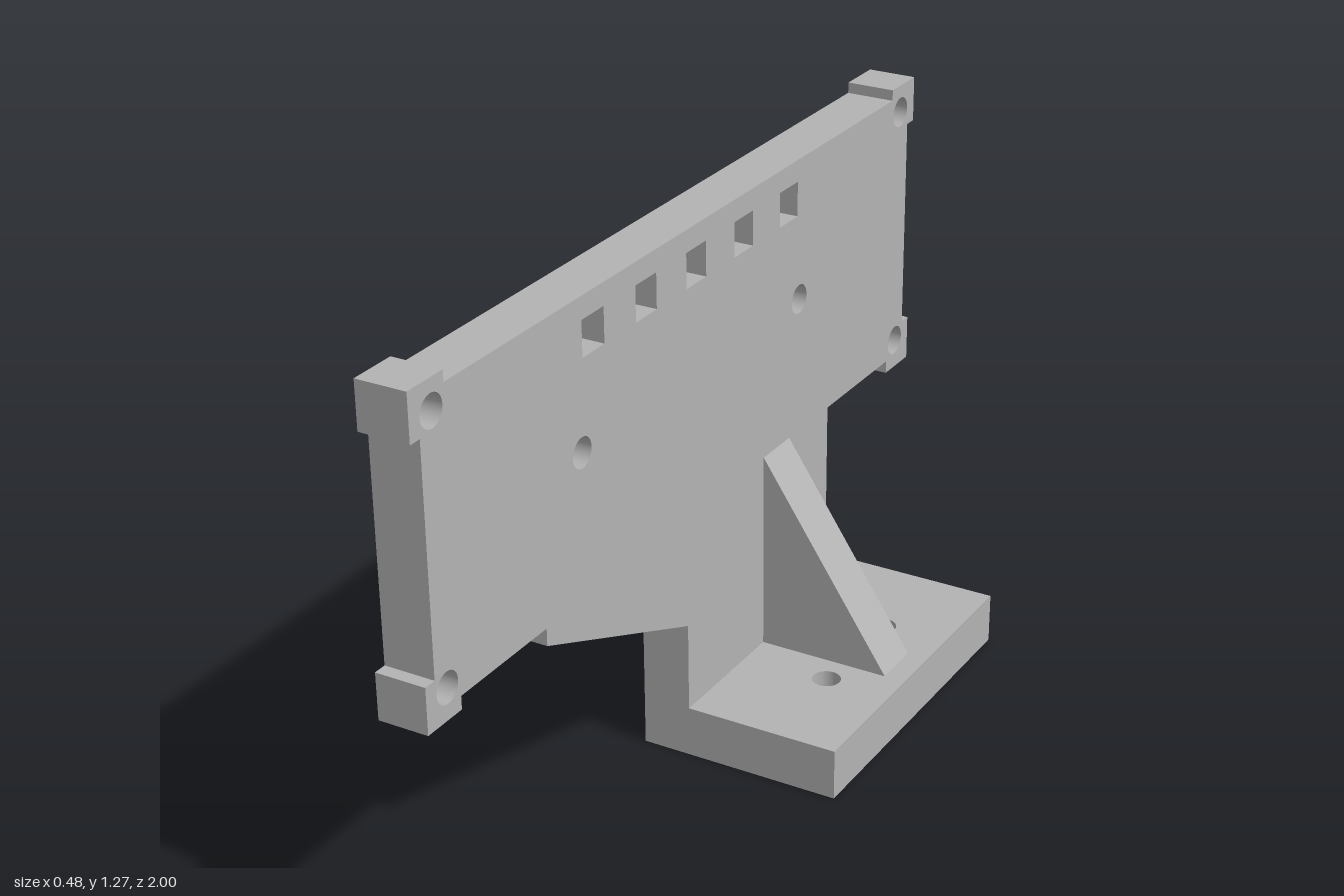
import * as THREE from 'three';

const grey = new THREE.MeshStandardMaterial({ color: 0xb3b3b3 });
grey.name = 'grey';

const circle = (u, v, r) => new THREE.Path().absarc(u, v, r, 0, Math.PI * 2, true);
const square = (u, v, h) => new THREE.Path([[-h, -h], [-h, h], [h, h], [h, -h]]
  .map(([a, b]) => new THREE.Vector2(u + a, v + b)));

// Flat part with holes, extruded along +z from z = 0
function plate(name, points, depth, holes = []) {
  const shape = new THREE.Shape(points.map(p => new THREE.Vector2(...p)));
  shape.holes.push(...holes);
  const geometry = new THREE.ExtrudeGeometry(shape, { depth, bevelEnabled: false, curveSegments: 24 });
  const mesh = new THREE.Mesh(geometry, grey);
  mesh.name = name;
  return mesh;
}

export function createModel() {
  const model = new THREE.Group();
  model.name = 'mountingBracket';
  const back = -0.24, face = -0.125, right = 0.24, baseTop = 0.12;

  // Upright panel, drawn with u = -z and v = y: foot, sloped shoulder and four corner tabs
  const outline = [
    [-0.05, baseTop], [0.59, baseTop], [0.59, 0.595], [0.89, 0.595],
    [0.89, 0.565], [1, 0.565], [1, 0.67], [0.97, 0.67],
    [0.97, 1.17], [1, 1.17], [1, 1.275], [0.89, 1.275], [0.89, 1.25],
    [-0.89, 1.25], [-0.89, 1.275], [-1, 1.275], [-1, 1.17], [-0.97, 1.17],
    [-0.97, 0.67], [-1, 0.67], [-1, 0.565], [-0.89, 0.565], [-0.89, 0.595],
    [-0.595, 0.595], [-0.595, 0.555], [-0.05, 0.33],
  ];
  const holes = [];
  for (const s of [-1, 1]) {
    holes.push(circle(s * 0.932, 1.21, 0.035), circle(s * 0.932, 0.635, 0.035));
    holes.push(circle(s * 0.447, 0.92, 0.034));
  }
  for (let i = -2; i <= 2; i++) holes.push(square(i * 0.198, 1.16, 0.04));
  const panel = plate('uprightPanel', outline, face - back, holes);
  panel.rotation.y = Math.PI / 2;
  panel.position.x = back;
  model.add(panel);

  // Base plate, drawn with v = -z, with two bolt holes
  const base = plate('basePlate',
    [[back, -0.05], [right, -0.05], [right, 0.745], [back, 0.745]], baseTop,
    [circle(0.08, 0.49, 0.033), circle(0.08, 0.213, 0.033)]);
  base.rotation.x = -Math.PI / 2;
  model.add(base);

  // Triangular gusset between panel and base
  const gusset = plate('gusset', [[face, baseTop], [0.19, baseTop], [face, 0.595]], 0.118);
  gusset.position.z = -0.405;
  model.add(gusset);

  return model;
}
